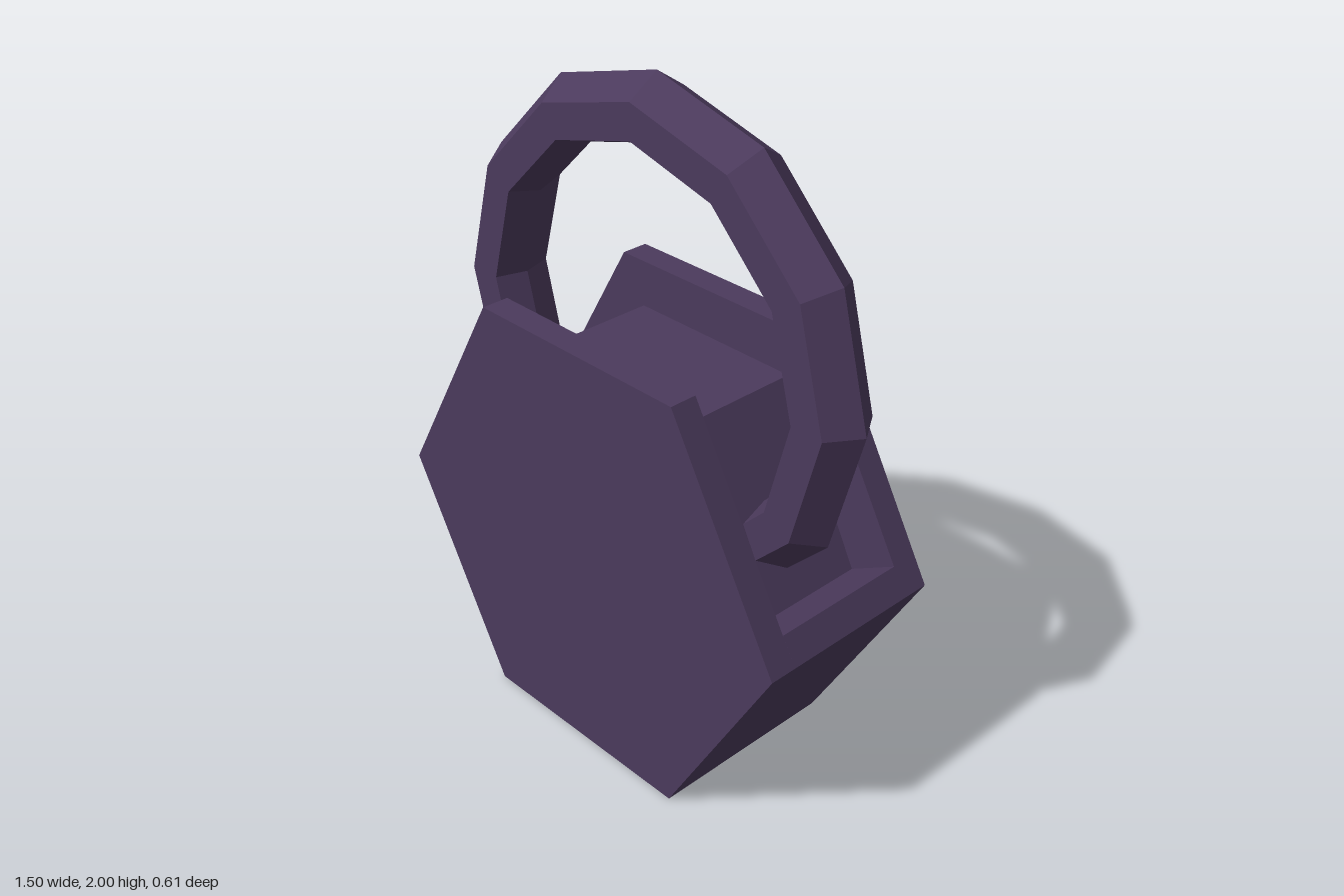
import * as THREE from 'three';

const material = new THREE.MeshStandardMaterial({ color: 0x4b3a5c, flatShading: true });

// Extrudes the right half of a profile, mirrored across x, between z0 and z1
function slab(name, half, z0, z1) {
  const mirrored = half.map(([x, y]) => [-x, y]).reverse();
  const shape = new THREE.Shape([...half, ...mirrored].map(([x, y]) => new THREE.Vector2(x, y)));
  const geometry = new THREE.ExtrudeGeometry(shape, { depth: z1 - z0, bevelEnabled: false });
  geometry.translate(0, 0, z0);
  const mesh = new THREE.Mesh(geometry, material);
  mesh.name = name;
  return mesh;
}

export function createModel() {
  const group = new THREE.Group();
  group.name = 'padlock';

  // Hexagonal body: two full side plates around a core with a sunken top
  const hexagon = [[0.375, 0], [0.75, 0.65], [0.375, 1.3]];
  const sunken = [[0.375, 0], [0.75, 0.65], [0.704, 0.73], [0.56, 0.647], [0.29, 1.156]];
  const outer = 0.305, slot = 0.22;
  const body = new THREE.Group();
  body.name = 'body';
  body.add(
    slab('frontPlate', hexagon, slot, outer),
    slab('backPlate', hexagon, -outer, -slot),
    slab('core', sunken, -slot, slot)
  );
  group.add(body);

  // Twelve-sided shackle ring with a six-sided section, its foot buried in the core
  const section = [[0.557, 0], [0.586, -0.095], [0.69, -0.095], [0.752, 0], [0.69, 0.095], [0.586, 0.095], [0.557, 0]];
  const ring = new THREE.LatheGeometry(section.map(([r, z]) => new THREE.Vector2(r, z)), 12);
  ring.rotateX(-Math.PI / 2);
  const shackle = new THREE.Mesh(ring, material);
  shackle.name = 'shackle';
  shackle.position.y = 1.248;
  group.add(shackle);

  return group;
}
